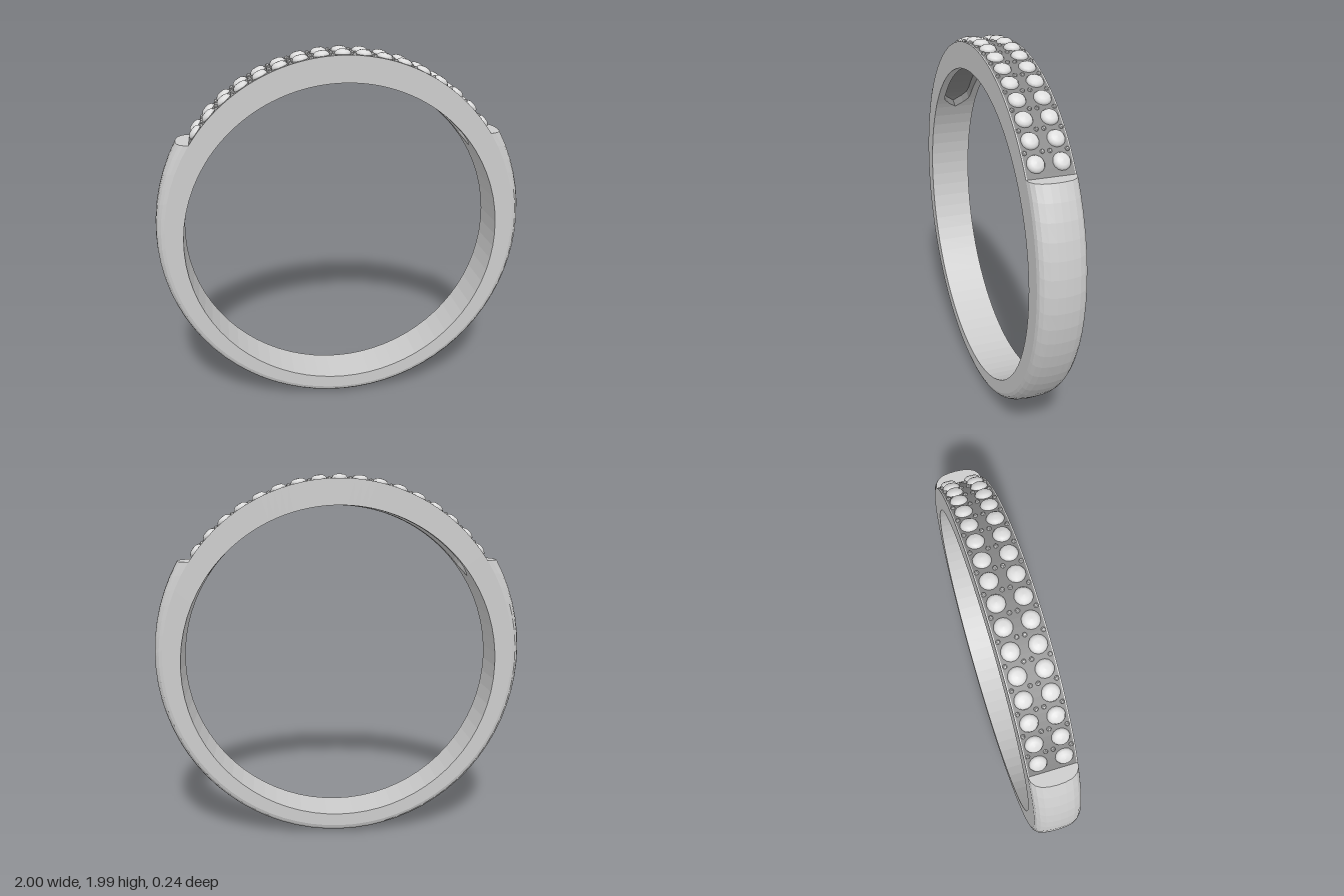
import * as THREE from 'three';

const HALF = 0.12;       // half width of the band
const LEDGE = 1.535;     // height of the flat shoulder ledges
const SLOT = 0.96;       // half angle of the hollow under the crown

const flat = (color, name) => {
  const m = new THREE.MeshStandardMaterial({ color, flatShading: true, side: THREE.DoubleSide });
  m.name = name;
  return m;
};

// Faceted surface through rows of points
function grid(rows) {
  const pos = [];
  for (let i = 0; i < rows.length - 1; i++) {
    for (let j = 0; j < rows[i].length - 1; j++) {
      const a = rows[i][j], b = rows[i + 1][j], c = rows[i + 1][j + 1], d = rows[i][j + 1];
      pos.push(...a, ...b, ...c, ...a, ...c, ...d);
    }
  }
  const g = new THREE.BufferGeometry();
  g.setAttribute('position', new THREE.Float32BufferAttribute(pos, 3));
  g.computeVertexNormals();
  return g;
}

const range = (n, from, to) => Array.from({ length: n + 1 }, (_, i) => from + (to - from) * i / n);

// Outer oval: h = 0 at the side edges, h = 1 on the middle of the rounded back
const oval = h => ({ a: 0.95 + 0.05 * h, b: 0.958 + 0.062 * h, c: 1.005 + 0.015 * h });
const outer = (phi, z, h = 0) => {
  const { a, b, c } = oval(h);
  return [a * Math.cos(phi), c + b * Math.sin(phi), z];
};
const inner = (phi, z, depth = 0) =>
  [(0.855 + depth) * Math.cos(phi), 0.97 + (0.855 + depth) * Math.sin(phi), z];
const ledgeAngle = h => { const { b, c } = oval(h); return Math.asin((LEDGE - c) / b); };

export function createModel() {
  const root = new THREE.Group();
  root.name = 'ring';
  const metal = flat(0xcccccc, 'silver');
  const dark = flat(0x858585, 'dark setting');
  const gem = new THREE.MeshStandardMaterial({ color: 0xdcdcdc });
  gem.name = 'pale stone';
  const add = (name, geo, mat, parent = root) => {
    const m = new THREE.Mesh(geo, mat);
    m.name = name;
    parent.add(m);
    return m;
  };

  // Rounded cross-section of the lower band: [z, height]
  const half = [[1, 0], [0.95, 0.35], [0.82, 0.65], [0.6, 0.87], [0.3, 0.97]];
  const profile = [
    ...half.map(([z, h]) => [-z * HALF, h]), [0, 1],
    ...half.slice().reverse().map(([z, h]) => [z * HALF, h]),
  ];

  // Rounded outside of the lower band, each line ending on the ledge
  const p0 = ledgeAngle(0);
  add('lowerBand', grid(range(50, 0, 1).map(t => profile.map(([z, h]) => {
    const p = ledgeAngle(h);
    return outer(Math.PI - p + t * (Math.PI + 2 * p), z, h);
  }))), metal);

  // Flat shoulder ledges
  const edgeX = outer(p0, 0)[0];
  for (const s of [1, -1]) {
    const rows = profile.map(([z, h]) =>
      [[s * edgeX, LEDGE, z], [s * outer(ledgeAngle(h), z, h)[0], LEDGE, z]]);
    add(s > 0 ? 'leftLedge' : 'rightLedge', grid(s > 0 ? rows : rows.reverse()), metal);
  }

  // Flat side faces
  const crownAngles = range(48, p0, Math.PI - p0);
  const lowAngles = range(50, Math.PI - p0, 2 * Math.PI + p0);
  const around = [...crownAngles, ...lowAngles.slice(1)];
  add('frontFace', grid(around.map(p => [outer(p, HALF), inner(p, HALF)])), metal);
  add('backFace', grid(around.map(p => [inner(p, -HALF), outer(p, -HALF)])), metal);

  // Inside of the band, with a round-ended hollow under the crown
  add('lowerInside', grid(lowAngles.map(p => [inner(p, HALF), inner(p, -HALF)])), metal);
  const slotWidth = p => {
    const over = Math.max(0, (Math.abs(p - Math.PI / 2) - SLOT + 0.095) / 0.095);
    return 0.08 * Math.sqrt(Math.max(0, 1 - over * over));
  };
  const depth = 0.05;
  for (const s of [1, -1]) {
    const order = r => (s > 0 ? r : r.reverse());
    add('hollowMargin', grid(crownAngles.map(p =>
      order([inner(p, s * HALF), inner(p, s * slotWidth(p))]))), metal);
    add('hollowWall', grid(crownAngles.map(p =>
      order([inner(p, s * slotWidth(p)), inner(p, s * slotWidth(p), depth)]))), dark);
  }
  add('hollowFloor', grid(crownAngles.map(p =>
    [inner(p, slotWidth(p), depth), inner(p, -slotWidth(p), depth)])), dark);

  // Crown: dark bed between two thin bright rims
  const rim = HALF - 0.006;
  add('crownBed', grid(crownAngles.map(p => [outer(p, -rim), outer(p, rim)])), dark);
  add('frontRim', grid(crownAngles.map(p => [outer(p, rim), outer(p, HALF)])), metal);
  add('backRim', grid(crownAngles.map(p => [outer(p, -HALF), outer(p, -rim)])), metal);

  // Two rows of domed stones with small beads between them
  const stoneGeo = new THREE.LatheGeometry(
    [[0.040, -0.012], [0.043, 0.002], [0.037, 0.013], [0.024, 0.021], [0, 0.024]]
      .map(([x, y]) => new THREE.Vector2(x, y)), 14);
  const beadGeo = new THREE.SphereGeometry(0.011, 8, 6);
  const stones = new THREE.Group();
  stones.name = 'stones';
  const beads = new THREE.Group();
  beads.name = 'beads';
  root.add(stones, beads);
  const place = (mesh, phi, z) => {
    mesh.position.set(...outer(phi, z));
    mesh.rotation.z = phi - Math.PI / 2;
  };
  const step = 0.1145;
  for (let k = -8; k <= 8; k++) {
    const phi = Math.PI / 2 + k * step;
    for (const s of [1, -1]) place(add('stone', stoneGeo, gem, stones), phi, s * 0.062);
    if (k < 8) {
      for (const z of [-0.102, -0.018, 0.018, 0.102]) {
        place(add('bead', beadGeo, metal, beads), phi + step / 2, z);
      }
    }
  }
  return root;
}
